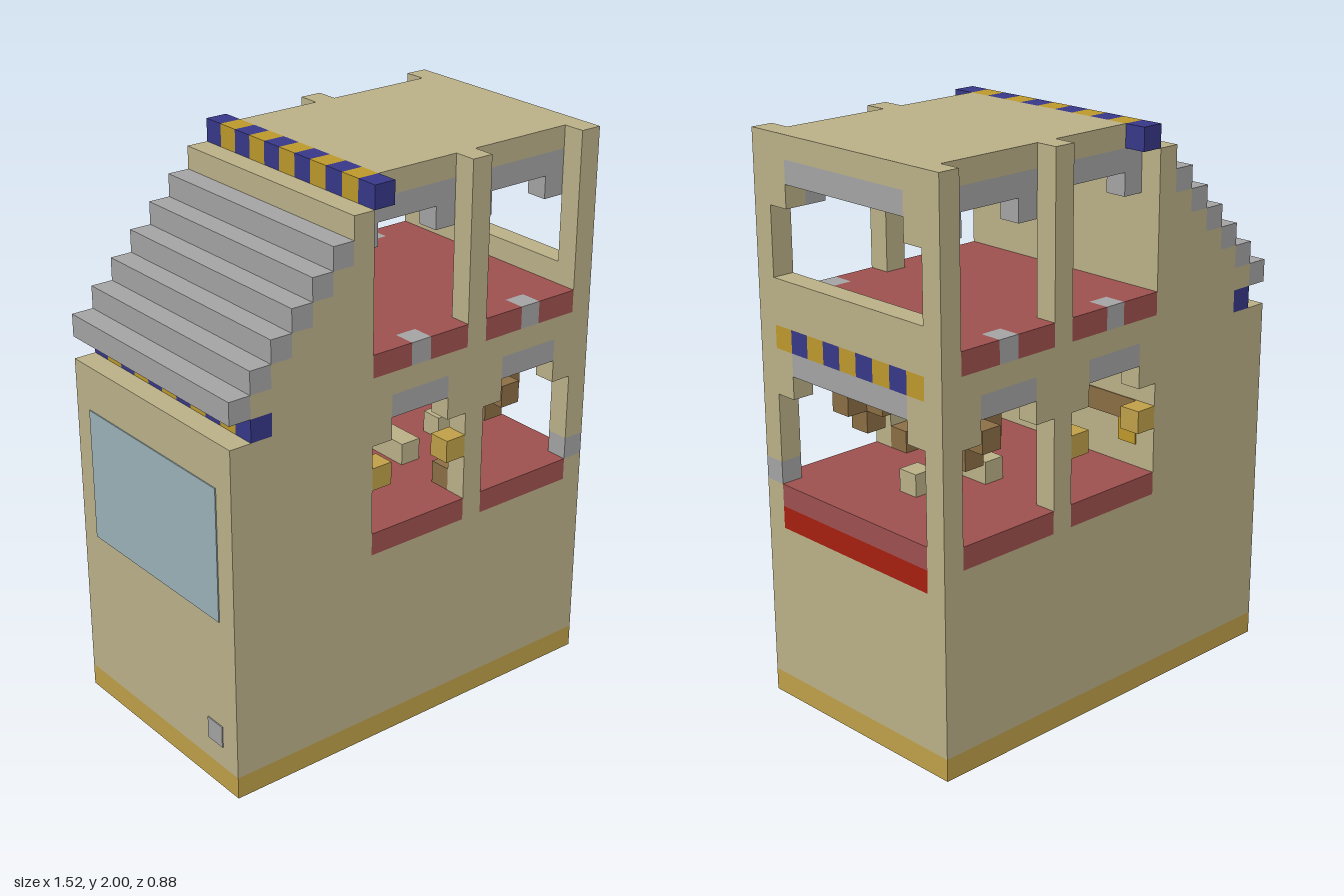
import * as THREE from 'three';

const U = 0.08; // one building block

const mat = (name, color) => {
  const m = new THREE.MeshStandardMaterial({ color });
  m.name = name;
  return m;
};

export function createModel() {
  const model = new THREE.Group();
  model.name = 'house';
  const tan = mat('tan wall', 0xbdb38a), gold = mat('base gold', 0xc2a24a);
  const yellow = mat('yellow', 0xc09b2c), blue = mat('blue', 0x38388a);
  const floorRed = mat('floor red', 0xa05250), red = mat('bright red', 0xa82010);
  const gray = mat('gray', 0xa6a6a6), dark = mat('dark iron', 0x40444e);
  const brown = mat('brown wood', 0x8e7046), glass = mat('pale blue', 0x9db4bc);

  // Box between block coordinates: x 0..19 from the stair end, y 0..25, z -5.5..5.5
  const box = (name, m, x0, x1, y0, y1, z0, z1) => {
    const g = new THREE.BoxGeometry((x1 - x0) * U, (y1 - y0) * U, (z1 - z0) * U);
    g.translate(((x0 + x1) / 2 - 9.5) * U, (y0 + y1) / 2 * U, (z0 + z1) / 2 * U);
    const mesh = new THREE.Mesh(g, m);
    mesh.name = name;
    model.add(mesh);
  };
  // Same box on the front and back sides
  const pair = (name, m, x0, x1, y0, y1, z0, z1) => {
    box(name, m, x0, x1, y0, y1, z0, z1);
    box(name, m, x0, x1, y0, y1, -z1, -z0);
  };
  // Row of alternating blocks along z
  const stripe = (name, x, y, half, first, second) => {
    for (let i = 0; i < half * 2; i++)
      box(name, i % 2 ? second : first, x, x + 1, y, y + 1, i - half, i - half + 1);
  };

  // Base and ground storey
  box('base', gold, 0, 19, 0, 1, -5.5, 5.5);
  box('groundStorey', tan, 0, 19, 1, 8, -5.5, 5.5);
  box('groundStoreyTop', tan, 0, 18, 8, 9, -5.5, 5.5);
  box('redBand', red, 18, 19, 8, 9, -4.5, 4.5);

  // Solid stair block: stepped outline with a notch for the stripe
  const outline = [[0, 9], [7, 9], [7, 24], [6, 24]];
  for (let s = 5; s >= 1; s--) outline.push([s + 1, 17 + s], [s, 17 + s]);
  outline.push([1, 17], [2, 17], [2, 16], [0, 16]);
  const shape = new THREE.Shape(outline.map(([x, y]) => new THREE.Vector2((x - 9.5) * U, y * U)));
  const stairGeo = new THREE.ExtrudeGeometry(shape, { depth: 11 * U, bevelEnabled: false });
  stairGeo.translate(0, 0, -5.5 * U);
  const stairBlock = new THREE.Mesh(stairGeo, tan);
  stairBlock.name = 'stairBlock';
  model.add(stairBlock);
  for (let s = 0; s < 6; s++) box('step', gray, s, s + 1, 17 + s, 18 + s, -5.5, 5.5);
  stripe('lowerStripe', 1, 16, 5.5, blue, yellow);

  // End wall panel and knob, thin plates
  box('endPanel', glass, -0.05, 0, 8, 14, -4.5, 4.5);
  box('knob', gray, -0.05, 0, 2, 3, 3.5, 4.5);

  // Floors, ceilings and roof
  box('lowerFloor', floorRed, 7, 19, 9, 10, -4.5, 4.5);
  box('lowerCeiling', gray, 7, 18, 15, 16, -4.5, 4.5);
  box('upperFloor', floorRed, 7, 18, 16, 18, -4.5, 4.5);
  box('upperCeiling', gray, 7, 18, 23, 24, -4.5, 4.5);
  box('roof', tan, 8, 18, 24, 25, -4.5, 4.5);
  stripe('roofStripe', 7, 24, 5.5, blue, yellow);

  // Long side walls: two bays of windows on both storeys
  for (const x of [7, 13]) {
    pair('lowerSill', floorRed, x, x + 5, 9, 10, 4.5, 5.5);
    pair('windowCorner', tan, x, x + 1, 14, 16, 4.5, 5.5);
    pair('windowCorner', tan, x + 4, x + 5, 14, 16, 4.5, 5.5);
    pair('lintel', gray, x + 1, x + 4, 15, 16, 4.5, 5.5);
    pair('wallBand', tan, x, x + 5, 16, 17, 4.5, 5.5);
    pair('upperSill', floorRed, x, x + 2, 17, 18, 4.5, 5.5);
    pair('sillTile', gray, x + 2, x + 3, 17, 18, 4.5, 5.5);
    pair('upperSill', floorRed, x + 3, x + 5, 17, 18, 4.5, 5.5);
    pair('ceilingCorner', gray, x, x + 1, 22, 23, 3.5, 4.5);
    pair('ceilingCorner', gray, x + 4, x + 5, 22, 23, 3.5, 4.5);
  }
  for (const x of [7, 11]) pair('windowBracket', gold, x, x + 1, 12, 13, 4.5, 5.5);
  pair('middlePillar', tan, 12, 13, 9, 25, 4.5, 5.5);
  box('backCornerPost', tan, 18, 19, 8, 25, -5.5, -4.5);
  box('frontCornerPost', tan, 18, 19, 8, 10, 4.5, 5.5);
  box('cornerPlate', gray, 18, 19, 10, 11, 4.5, 5.5);
  box('frontCornerPost', tan, 18, 19, 11, 25, 4.5, 5.5);

  // Narrow wall with two wide openings
  for (const y of [14, 22]) {
    pair('endWindowCorner', tan, 18, 19, y, y + 2, 3.5, 4.5);
    box('endLintel', gray, 18, 19, y + 1, y + 2, -3.5, 3.5);
  }
  stripe('endStripe', 18, 16, 4.5, yellow, blue);
  box('endWallBand', tan, 18, 19, 17, 19, -4.5, 4.5);
  box('endWallTop', tan, 18, 19, 24, 25, -4.5, 4.5);

  // Hanging lamps
  for (const z of [-3, 3]) {
    box('lampChain', dark, 15, 16, 14, 15, z - 0.5, z + 0.5);
    box('lampArms', brown, 14, 17, 13, 14, z - 0.5, z + 0.5);
    pair('lampArms', brown, 15, 16, 13, 14, Math.abs(z) - 1.5, Math.abs(z) + 1.5);
    box('lampBottom', brown, 15, 16, 12, 13, z - 0.5, z + 0.5);
  }

  // Furniture and wall shelf
  box('bench', tan, 12, 13, 10, 11, -1.5, 1.5);
  box('stool', tan, 15, 16, 10, 11, -0.5, 0.5);
  box('crate', brown, 12, 13, 10, 11, 3.5, 4.5);
  box('shelf', brown, 7, 7.05, 12, 13, -4.5, 4.5);
  box('shelfOrnament', yellow, 7, 7.05, 13, 14, -0.5, 0.5);
  for (const z of [-4, 0, 4]) box('shelfBracket', yellow, 7, 7.05, 11, 12, z - 0.5, z + 0.5);

  return model;
}
